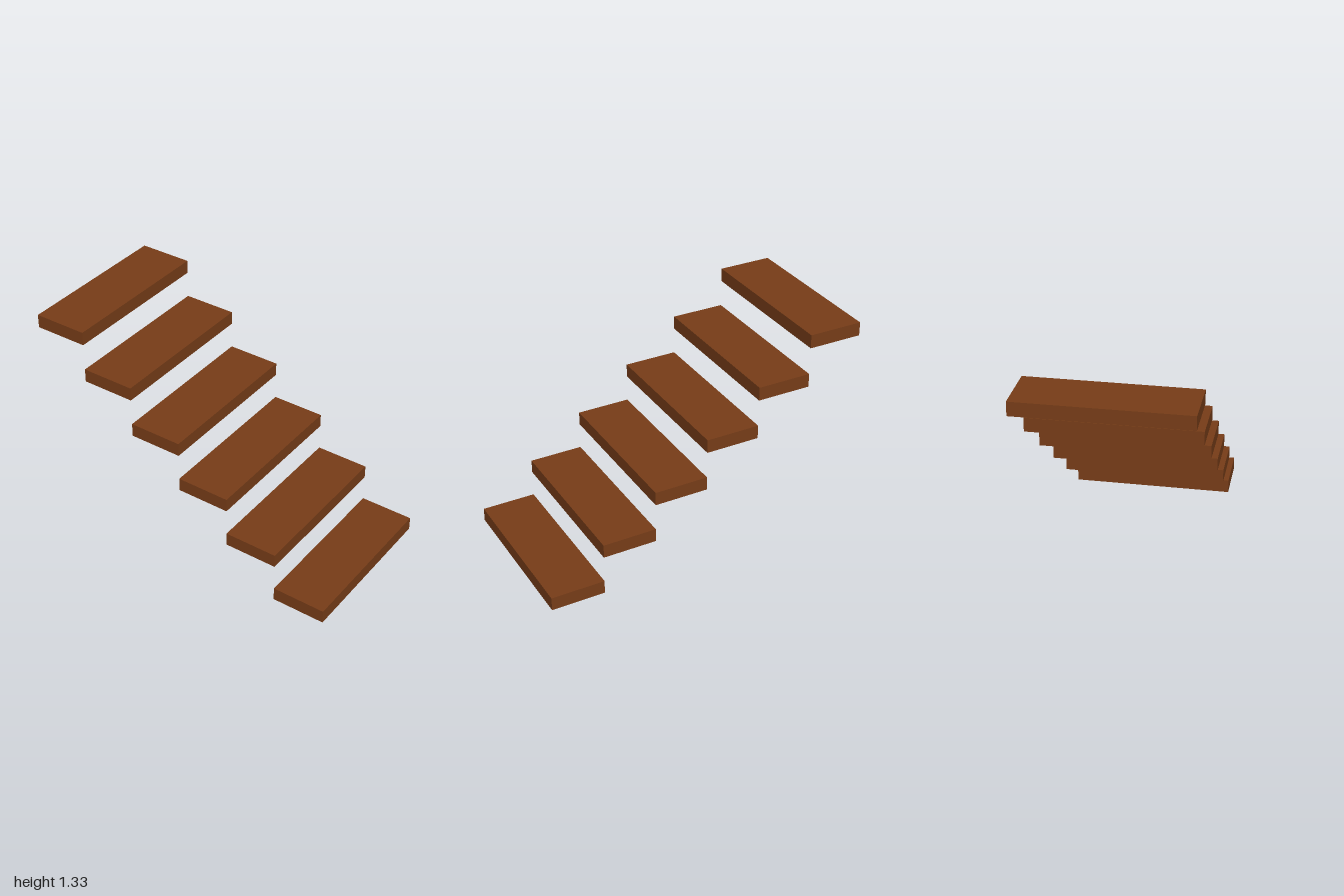
import * as THREE from 'three';

const STEPS = 6;
const RUN = 2 / STEPS;      // tread width along x
const RISE = 0.25;          // height gained per tread
const THICKNESS = RUN / 4;
const DEPTH = 1;

export function createModel() {
  const group = new THREE.Group();
  group.name = 'floatingStaircase';

  const wood = new THREE.MeshStandardMaterial({ color: 0x783d18 });
  const plank = new THREE.BoxGeometry(RUN, THICKNESS, DEPTH);

  // Floating treads, climbing from +x (lowest) to -x (highest)
  for (let i = 0; i < STEPS; i++) {
    const tread = new THREE.Mesh(plank, wood);
    tread.name = `tread${i + 1}`;
    tread.position.set(1 - RUN * (i + 0.5), RISE * i + THICKNESS / 2, 0);
    group.add(tread);
  }
  return group;
}
